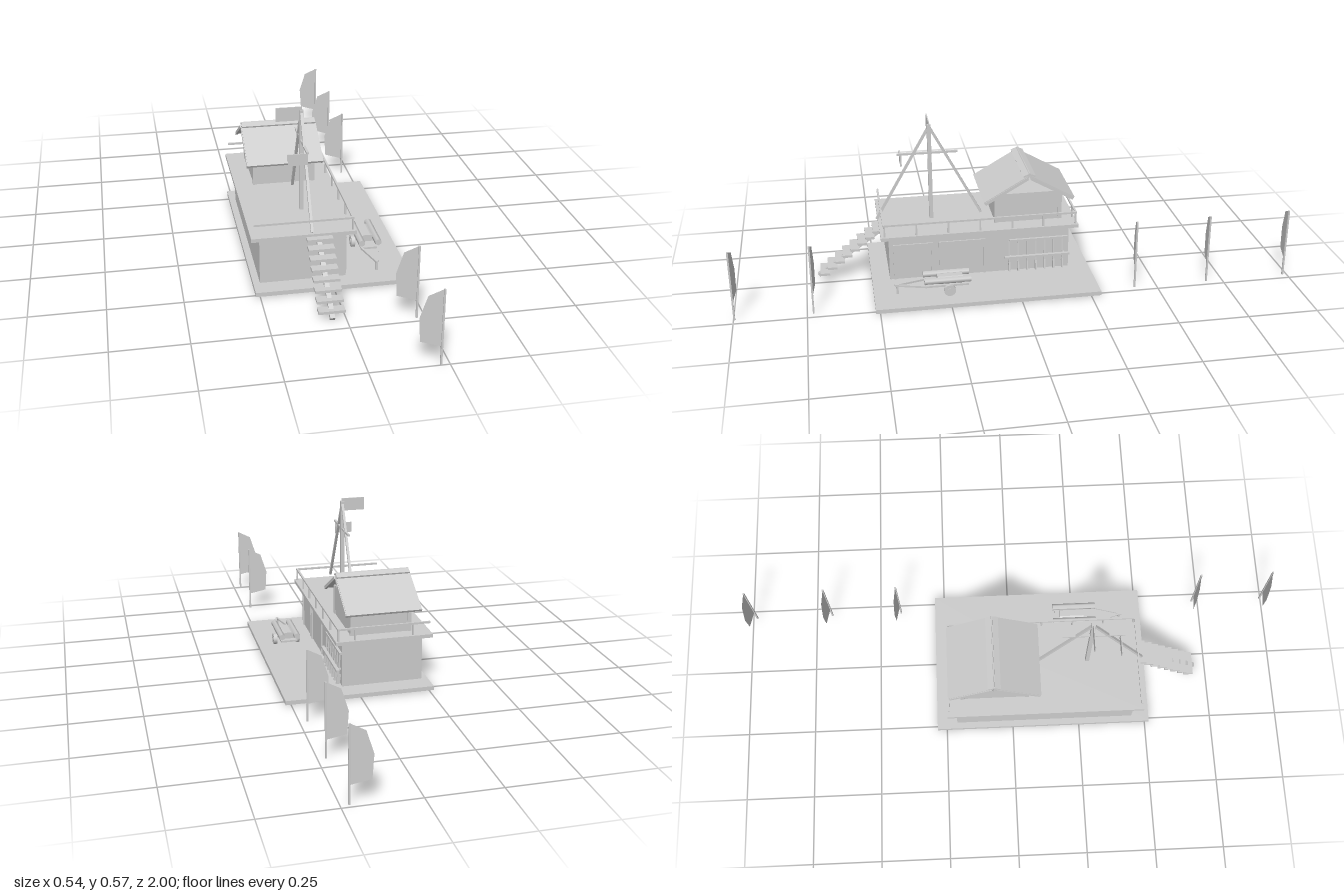
import * as THREE from 'three';

export function createModel() {
  const root = new THREE.Group();
  const grey = new THREE.MeshStandardMaterial({ color: 0xcccccc });
  grey.name = 'plain grey';
  const greyThin = new THREE.MeshStandardMaterial({ color: 0xcccccc, side: THREE.DoubleSide });
  greyThin.name = 'plain grey cloth';

  const add = (name, geo, parent = root, mat = grey) => {
    const m = new THREE.Mesh(geo, mat);
    m.name = name;
    parent.add(m);
    return m;
  };
  // Box from its limits on each axis
  const box = (name, x0, x1, y0, y1, z0, z1, parent) => {
    const m = add(name, new THREE.BoxGeometry(x1 - x0, y1 - y0, z1 - z0), parent);
    m.position.set((x0 + x1) / 2, (y0 + y1) / 2, (z0 + z1) / 2);
    return m;
  };
  // Rectangular bar between two points
  const bar = (name, a, b, w, h = w, parent = root) => {
    const p = new THREE.Vector3(...a), q = new THREE.Vector3(...b);
    const m = add(name, new THREE.BoxGeometry(w, h, p.distanceTo(q)), parent);
    m.position.copy(p).add(q).multiplyScalar(0.5);
    m.lookAt(q);
    return m;
  };
  const group = (name) => {
    const g = new THREE.Group();
    g.name = name;
    root.add(g);
    return g;
  };

  // Ground slab, lower building and deck
  box('groundSlab', -0.265, 0.27, 0.003, 0.018, -0.285, 0.515);
  box('lowerBuilding', -0.242, 0.051, 0.018, 0.185, -0.21, 0.45);
  box('deck', -0.272, 0.08, 0.185, 0.198, -0.24, 0.478);

  // Door frames on the side wall
  const doors = group('doors');
  for (const [z0, z1] of [[0.29, 0.435], [0.1, 0.27]]) {
    box('doorJamb', 0.05, 0.056, 0.018, 0.155, z0, z0 + 0.008, doors);
    box('doorJamb', 0.05, 0.056, 0.018, 0.155, z1 - 0.008, z1, doors);
    box('doorLintel', 0.05, 0.056, 0.147, 0.155, z0, z1, doors);
  }

  // Wall rack with leaning paddles
  const rack = group('wallRack');
  box('upperShelf', 0.05, 0.06, 0.13, 0.15, -0.205, 0.01, rack).scale.y = 0.4;
  box('rackRail', 0.06, 0.072, 0.073, 0.081, -0.21, 0.03, rack);
  for (const z of [-0.19, 0.01]) box('rackBracket', 0.05, 0.066, 0.074, 0.08, z - 0.004, z + 0.004, rack);
  for (let i = 0; i < 7; i++) {
    const z = 0.012 - i * 0.033;
    bar('paddleShaft', [0.06, 0.02, z], [0.054, 0.135, z], 0.005, 0.005, rack);
    bar('paddleBlade', [0.062, 0.019, z], [0.056, 0.055, z], 0.006, 0.013, rack);
  }

  // Stairs: central stringer and eight treads
  const stairs = group('stairs');
  bar('stringer', [-0.047, 0.01, 0.705], [-0.047, 0.18, 0.465], 0.016, 0.014, stairs);
  for (let i = 0; i < 8; i++) {
    const y = 0.185 - i * 0.0222, z = 0.485 + i * 0.028;
    box('tread', -0.09, -0.003, y - 0.0045, y + 0.0045, z - 0.017, z + 0.017, stairs);
  }

  // Railing on three sides of the deck
  const railing = group('railing');
  box('sideRail', 0.066, 0.073, 0.238, 0.245, -0.235, 0.47, railing);
  box('backRail', -0.262, 0.073, 0.238, 0.245, -0.235, -0.228, railing);
  box('frontRail', -0.262, 0.073, 0.238, 0.245, 0.463, 0.47, railing);
  for (const z of [0.464, 0.35, 0.235, 0.12, 0.003, -0.112, -0.23])
    box('railPost', 0.067, 0.073, 0.198, 0.24, z - 0.003, z + 0.003, railing);
  for (const x of [-0.2, 0.01])
    box('railPost', x - 0.003, x + 0.003, 0.198, 0.24, -0.234, -0.228, railing);

  // Hut with corner posts
  const hut = group('hut');
  box('hutWalls', -0.204, 0.014, 0.198, 0.308, -0.187, 0.057, hut);
  for (const x of [-0.2, 0.01]) for (const z of [-0.183, 0.053])
    box('cornerPost', x - 0.007, x + 0.007, 0.198, 0.308, z - 0.007, z + 0.007, hut);

  // Open gable roof with raised ridge boards
  const roof = group('hutRoof');
  for (const s of [-1, 1]) {
    const at = (d, y) => [-0.095, y, -0.065 + s * d];
    bar('roofPanel', at(0.165, 0.287), at(0.003, 0.38), 0.27, 0.009, roof);
    bar('ridgeBoard', at(0.022, 0.381), at(-0.003, 0.391), 0.27, 0.006, roof);
    for (const x of [-0.229, 0.039])
      bar('bargeBoard', [x, 0.285, -0.065 + s * 0.162], [x, 0.374, -0.065 + s * 0.006], 0.008, 0.011, roof);
  }

  // Mast, stays and crossbar
  const mast = group('mast');
  const mx = -0.071;
  box('mastPole', mx - 0.007, mx + 0.007, 0.198, 0.562, 0.275, 0.289, mast);
  bar('frontStay', [mx, 0.55, 0.285], [mx, 0.208, 0.482], 0.009, 0.009, mast);
  bar('backStay', [mx, 0.55, 0.279], [mx, 0.208, 0.098], 0.009, 0.009, mast);
  box('crossbar', mx - 0.004, mx + 0.004, 0.451, 0.458, 0.18, 0.4, mast);
  box('upperFlag', -0.157, -0.068, 0.525, 0.573, 0.28, 0.284, mast);
  box('lowerFlag', -0.134, -0.073, 0.408, 0.448, 0.384, 0.388, mast);
  box('flagCord', mx - 0.003, mx + 0.003, 0.408, 0.455, 0.383, 0.389, mast);

  // Trailer with a tapered drawbar and two padded runners
  const trailer = group('trailer');
  const tx = 0.162;
  box('trailerBed', tx - 0.032, tx + 0.032, 0.047, 0.054, 0.18, 0.335, trailer);
  const tray = new THREE.Shape([[-0.022, 0.054], [0.022, 0.054], [0.037, 0.068], [0.012, 0.078],
    [-0.012, 0.078], [-0.037, 0.068]].map(p => new THREE.Vector2(...p)));
  add('trailerTray', new THREE.ExtrudeGeometry(tray, { depth: 0.09, bevelEnabled: false }), trailer)
    .position.set(tx, 0, 0.2);
  for (const s of [-1, 1]) {
    const runner = add('runner', new THREE.CylinderGeometry(0.012, 0.012, 0.165, 6), trailer);
    runner.rotation.x = Math.PI / 2;
    runner.position.set(tx + s * 0.029, 0.071, 0.255);
    bar('drawbar', [tx + s * 0.03, 0.051, 0.33], [tx, 0.051, 0.44], 0.007, 0.007, trailer);
    const wheel = add('wheel', new THREE.CylinderGeometry(0.021, 0.021, 0.013, 16), trailer);
    wheel.rotation.z = Math.PI / 2;
    wheel.position.set(tx + s * 0.044, 0.039, 0.25);
    const hub = add('hub', new THREE.CylinderGeometry(0.009, 0.009, 0.017, 10), trailer);
    hub.rotation.z = Math.PI / 2;
    hub.position.copy(wheel.position);
  }
  box('axle', tx - 0.042, tx + 0.042, 0.044, 0.049, 0.247, 0.253, trailer);
  box('standLeg', tx - 0.004, tx + 0.004, 0.018, 0.052, 0.428, 0.436, trailer);

  // Row of sail banners on poles, slightly bowed toward the back
  const sail = new THREE.Shape([[0.222, 0.258], [0.175, 0.235], [0.152, 0.16], [0.157, 0.08],
    [0.222, 0.063]].map(p => new THREE.Vector2(...p)));
  const sailGeo = new THREE.ShapeGeometry(sail);
  const pos = sailGeo.attributes.position;
  for (let i = 0; i < pos.count; i++) pos.setZ(i, -0.012 * (0.222 - pos.getX(i)) / 0.07);
  sailGeo.computeVertexNormals();
  for (const z of [0.997, 0.728, -0.42, -0.69, -0.985]) {
    const banner = group('banner');
    banner.position.z = z;
    box('bannerPole', 0.219, 0.225, 0, 0.258, -0.003, 0.003, banner);
    add('bannerSail', sailGeo, banner, greyThin);
  }

  return root;
}
